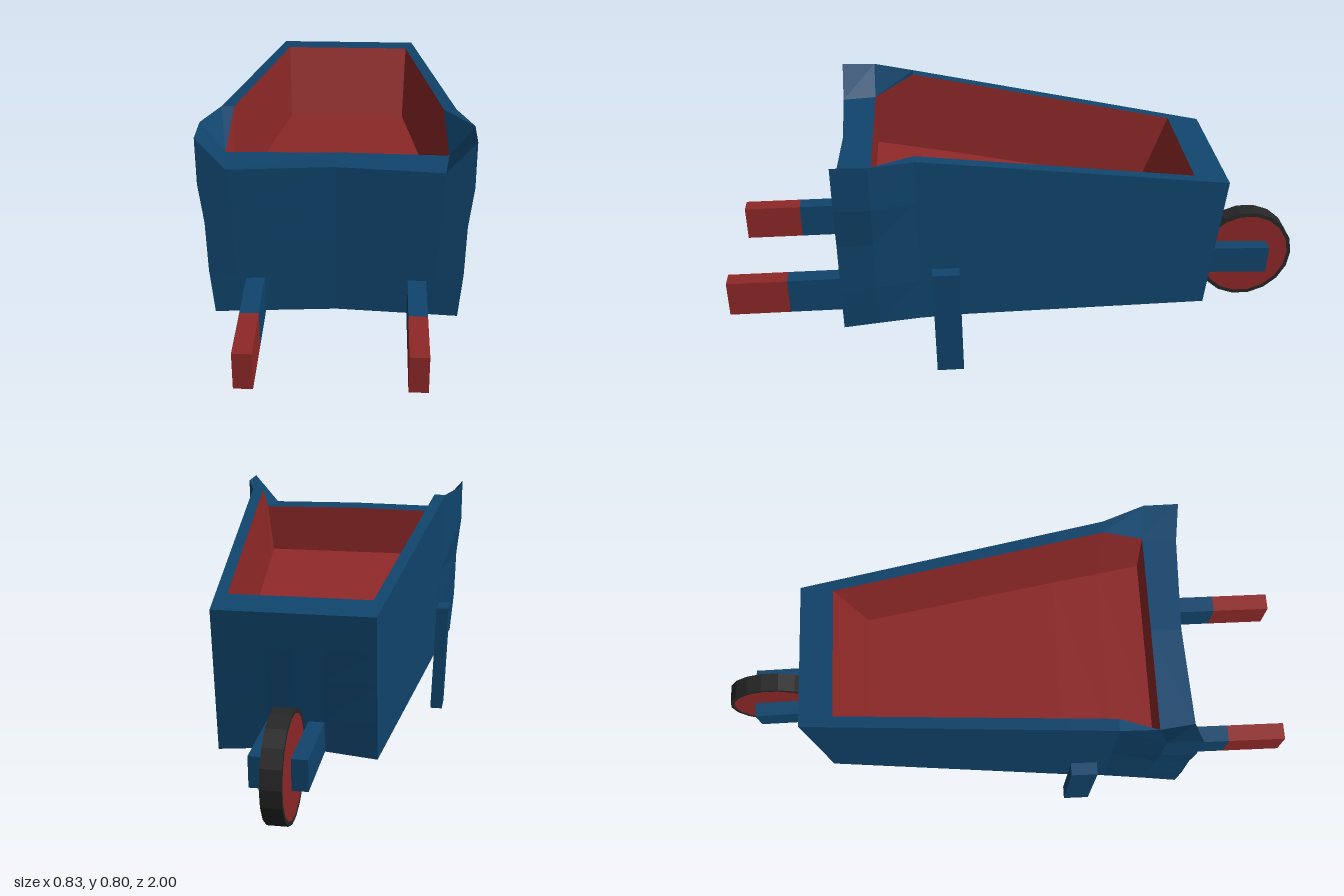
import * as THREE from 'three';

const paint = (color) => new THREE.MeshStandardMaterial({ color, flatShading: true, side: THREE.DoubleSide });
const blue = paint(0x10446c), red = paint(0x8f2828), black = paint(0x262626);

const flip = ([x, y, z]) => [-x, y, z];
const mix = (a, b, t) => a.map((v, i) => v + (b[i] - v) * t);
// Row of points from -x to +x, given the half from the centre line outwards
const fullRow = (half) => [...half.slice(1).reverse().map(flip), ...half];
const mirrorRows = (rows) => rows.map((r) => r.map(flip).reverse());

// Flat-shaded sheet through rows of points (rows bottom to top, points left to right)
function sheet(rows) {
  const pos = [];
  for (let i = 0; i + 1 < rows.length; i++) {
    for (let j = 0; j + 1 < rows[i].length; j++) {
      const p = rows[i][j], q = rows[i][j + 1], r = rows[i + 1][j + 1], s = rows[i + 1][j];
      pos.push(...p, ...q, ...r, ...p, ...r, ...s);
    }
  }
  const g = new THREE.BufferGeometry();
  g.setAttribute('position', new THREE.Float32BufferAttribute(pos, 3));
  g.computeVertexNormals();
  return g;
}

function add(parent, name, geometry, material, position = [0, 0, 0]) {
  const m = new THREE.Mesh(geometry, material);
  m.name = name;
  m.position.set(...position);
  parent.add(m);
  return m;
}

// Outer wall heights (fraction) and the slight bulge of the front corners
const levels = [0, 0.25, 0.53, 0.75, 1];
const bulge = [0, 0.005, 0, 0.008, 0];

// Side stations, front to back, on the +x side
const top = [[0.413, 0.803, 0.615], [0.413, 0.8, 0.5], [0.365, 0.79, 0.36], [0.347, 0.762, 0.2], [0.25, 0.607, -0.675]];
const bottom = [[0.38, 0.195, 0.615], [0.367, 0.197, 0.5], [0.353, 0.2, 0.36], [0.34, 0.197, 0.2], [0.25, 0.14, -0.62]];
const rim = [[0.325, 0.7, 0.615], [0.34, 0.7, 0.5], [0.325, 0.79, 0.36], [0.308, 0.762, 0.2], [0.225, 0.627, -0.56]];
const floorEdge = [[0.318, 0.53, 0.5], [0.303, 0.51, 0.36], [0.286, 0.487, 0.2], [0.215, 0.38, -0.465]];

function makeTray() {
  const tray = new THREE.Group();
  tray.name = 'tray';

  // Outer side walls
  const side = levels.map((t, k) => bottom.map((b, j) => {
    const p = mix(b, top[j], t);
    if (j < 2) p[0] += bulge[k];
    return p;
  }));
  add(tray, 'leftWall', sheet(side), blue);
  add(tray, 'rightWall', sheet(mirrorRows(side)), blue);

  // Front wall with raised corners, and back wall
  const frontLow = [[0, 0.203, 0.6], [0.3, 0.197, 0.612]], frontHigh = [[0, 0.707, 0.6], rim[0]];
  const front = levels.map((t, k) => fullRow([
    ...frontLow.map((b, j) => mix(b, frontHigh[j], t)), side[k][0],
  ]));
  add(tray, 'frontWall', sheet(front), blue);
  const backLow = [[0, 0.137, -0.62], [0.09, 0.155, -0.62]];
  const backHigh = [[0, 0.607, -0.675], [0.09, 0.607, -0.675]];
  const back = levels.map((t, k) => fullRow([
    ...backLow.map((b, j) => mix(b, backHigh[j], t)), side[k][4],
  ]).reverse());
  add(tray, 'backWall', sheet(back), blue);

  // Underside
  const under = bottom.map((b, j) => {
    if (j === 0) return fullRow([...frontLow, b]);
    if (j === 4) return fullRow([...backLow, b]);
    return fullRow([[0, b[1] + 0.004, b[2]], [b[0] * 0.6, b[1] + 0.004, b[2]], b]);
  });
  add(tray, 'underside', sheet(under.reverse()), blue);

  // Rim
  add(tray, 'leftRim', sheet([top, rim]), blue);
  add(tray, 'rightRim', sheet(mirrorRows([top, rim])), blue);
  add(tray, 'frontRim', sheet([fullRow(frontHigh), fullRow([[0, 0.705, 0.5], rim[1]])]), blue);
  add(tray, 'backRim', sheet([[top[4], flip(top[4])], [rim[4], flip(rim[4])]]), blue);

  // Red lining
  const lining = [[...floorEdge].reverse(), rim.slice(1).reverse()];
  add(tray, 'leftLining', sheet(lining), red);
  add(tray, 'rightLining', sheet(mirrorRows(lining)), red);
  add(tray, 'frontLining', sheet([
    [floorEdge[0], [0, 0.53, 0.5], flip(floorEdge[0])],
    [rim[1], [0, 0.705, 0.5], flip(rim[1])],
  ]), red);
  add(tray, 'backLining', sheet([[flip(floorEdge[3]), floorEdge[3]], [flip(rim[4]), rim[4]]]), red);
  add(tray, 'trayFloor', sheet(floorEdge.map((p) => [flip(p), p])), red);
  return tray;
}

function makeWheel() {
  const wheel = new THREE.Group();
  wheel.name = 'wheel';
  const R = 0.172, W = 0.064, step = Math.PI / 9;
  // Tread: dark outside, painted where it faces the tray
  const tread = (name, from, count, mat) => {
    const g = new THREE.CylinderGeometry(R, R, W, count, 1, true, from * step, count * step);
    add(wheel, name, g.rotateZ(Math.PI / 2), mat);
  };
  // Cylinder angle pi/2 points down the z axis after rotation
  const zero = -2;
  tread('treadInner', zero + 0, 4, blue);
  tread('treadOuter', zero + 4, 14, black);
  for (const s of [1, -1]) {
    const ring = new THREE.RingGeometry(0.158, R, 18).rotateY(s * Math.PI / 2);
    add(wheel, 'tyreSide', ring, black, [s * W / 2, 0, 0]);
  }
  add(wheel, 'wheelDisc', new THREE.CylinderGeometry(0.16, 0.16, W - 0.002, 18).rotateZ(Math.PI / 2), red);
  wheel.position.set(0, 0.188, -0.823);
  return wheel;
}

// Leg that leans outwards towards the top
function legGeometry(s) {
  const g = new THREE.BoxGeometry(0.043, 0.39, 0.09);
  const p = g.attributes.position;
  for (let i = 0; i < p.count; i++) {
    if (p.getY(i) > 0) p.setXYZ(i, p.getX(i) + s * 0.014, p.getY(i), p.getZ(i) + 0.005);
  }
  g.computeVertexNormals();
  return g;
}

export function createModel() {
  const barrow = new THREE.Group();
  barrow.name = 'wheelbarrow';
  barrow.add(makeTray(), makeWheel());

  for (const [s, label] of [[1, 'left'], [-1, 'right']]) {
    // Handle shaft, grip, leg and wheel arm
    add(barrow, label + 'HandleShaft', new THREE.BoxGeometry(0.058, 0.122, 0.22), blue, [s * 0.25, 0.259, 0.69]);
    add(barrow, label + 'HandleGrip', new THREE.BoxGeometry(0.058, 0.122, 0.2), red, [s * 0.25, 0.259, 0.9]);
    add(barrow, label + 'Leg', legGeometry(s), blue, [s * 0.362, 0.195, 0.27]);
    const arm = add(barrow, label + 'WheelArm', new THREE.BoxGeometry(0.05, 0.1, 0.28), blue, [s * 0.063, 0.2, -0.752]);
    arm.rotation.x = -0.05;
  }
  return barrow;
}
